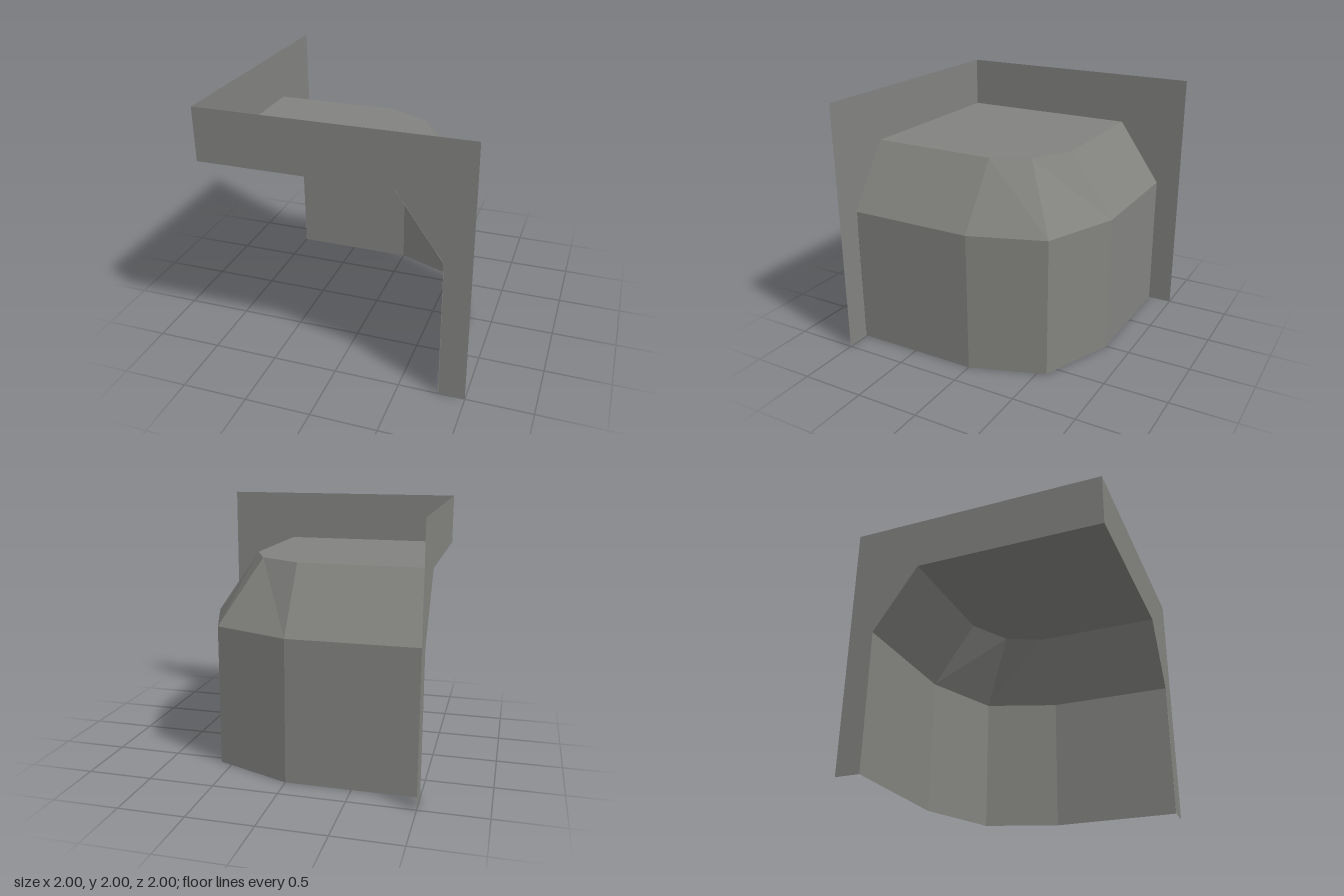
import * as THREE from 'three';

export function createModel() {
  const model = new THREE.Group();
  model.name = 'tunnelCorner';
  const stone = new THREE.MeshStandardMaterial({ color: 0x82827f, side: THREE.DoubleSide, flatShading: true });
  stone.name = 'stone grey';

  const add = (name, geometry) => {
    const mesh = new THREE.Mesh(geometry, stone);
    mesh.name = name;
    model.add(mesh);
    return mesh;
  };

  // Plan outlines of the bend, from the side opening round to the front opening
  const wallPlan = [[-1, -0.805], [0, -0.805], [0.595, -0.57], [0.8, 0], [0.8, 1]];
  const roofPlan = [[-1, -0.458], [0, -0.458], [0.32, -0.285], [0.454, 0], [0.454, 1]];
  const springY = 1.1, roofY = 1.595;

  // Faceted strip between two outlines, facing outwards
  const strip = (low, lowY, high, highY) => {
    const points = [];
    for (let i = 0; i < low.length - 1; i++) {
      const a = [low[i][0], lowY, low[i][1]], b = [low[i + 1][0], lowY, low[i + 1][1]];
      const c = [high[i + 1][0], highY, high[i + 1][1]], d = [high[i][0], highY, high[i][1]];
      points.push(...a, ...d, ...c, ...a, ...c, ...b);
    }
    const geometry = new THREE.BufferGeometry();
    geometry.setAttribute('position', new THREE.Float32BufferAttribute(points, 3));
    geometry.computeVertexNormals();
    return geometry;
  };
  add('outerWall', strip(wallPlan, 0, wallPlan, springY));
  add('slopedHaunch', strip(wallPlan, springY, roofPlan, roofY));

  // Flat roof over the bend, closed at the inner corner
  const flat = (points) => new THREE.ShapeGeometry(new THREE.Shape(points.map(([x, y]) => new THREE.Vector2(x, y))));
  const roof = flat([...roofPlan, [-1, 1]].map(([x, z]) => [x, -z]));
  roof.rotateX(-Math.PI / 2);
  add('flatRoof', roof).position.y = roofY;

  // Two end panels with the tunnel opening cut away
  const panel = flat([
    [-1, roofY], [0.456, roofY], [0.803, springY], [0.803, 0], [1, 0], [1, 2], [-1, 2],
  ]);
  add('frontPanel', panel).position.z = 1;
  const side = add('sidePanel', panel);
  side.rotation.y = Math.PI / 2;
  side.position.x = -1;

  return model;
}
